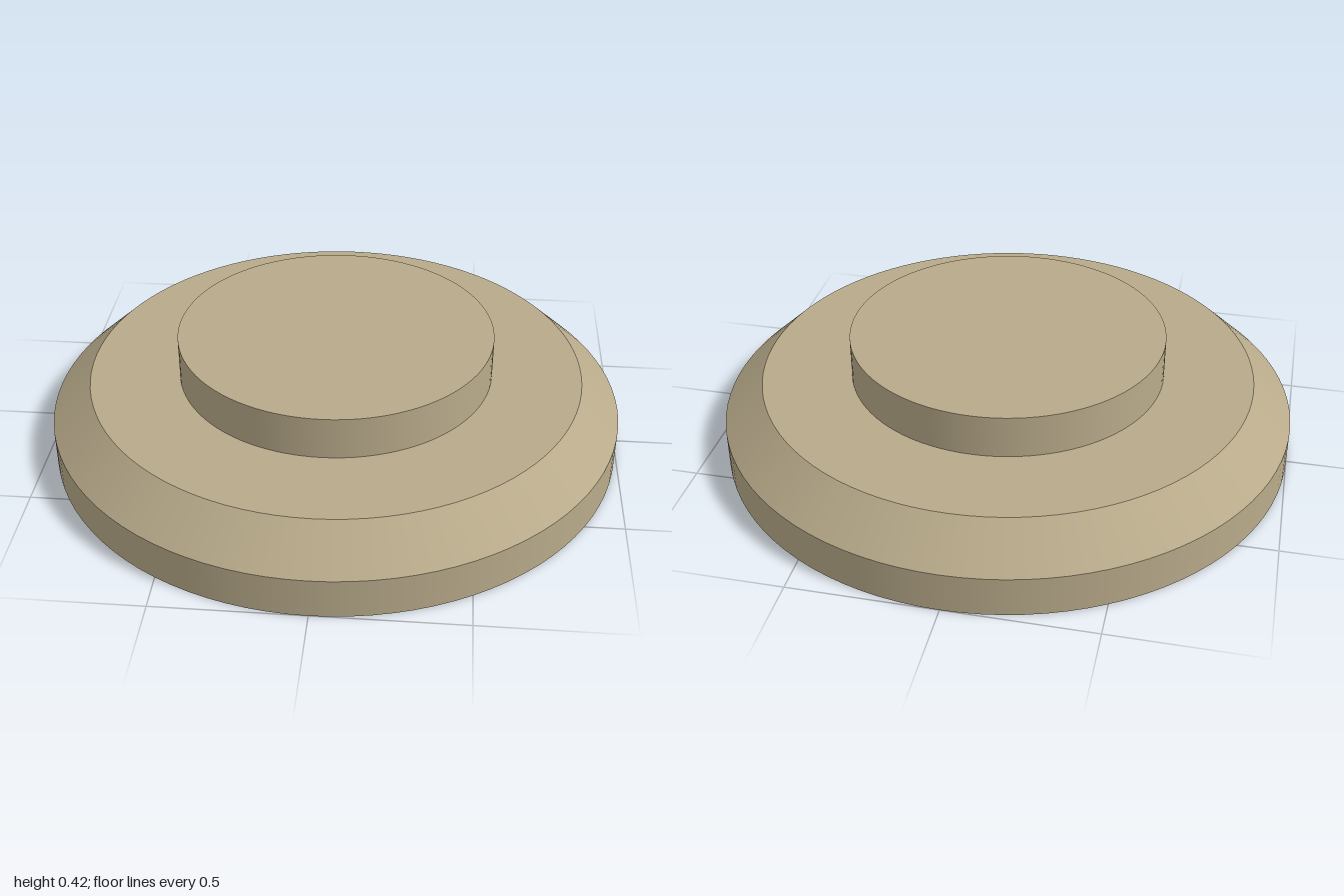
import * as THREE from 'three';

const SEGMENTS = 96;

export function createModel() {
  const group = new THREE.Group();
  group.name = 'steppedDisc';

  const tan = new THREE.MeshStandardMaterial({ color: 0xb8aa8a });
  tan.name = 'tan';

  // Round tier between two heights, with smooth sides and crisp rims
  function addTier(name, bottomRadius, topRadius, y0, y1, openEnded = false) {
    const geometry = new THREE.CylinderGeometry(topRadius, bottomRadius, y1 - y0, SEGMENTS, 1, openEnded);
    const mesh = new THREE.Mesh(geometry, tan);
    mesh.name = name;
    mesh.position.y = (y0 + y1) / 2;
    group.add(mesh);
  }

  // Flat disc closing a tier, facing up or down
  function addDisc(name, radius, y, up) {
    const geometry = new THREE.CircleGeometry(radius, SEGMENTS);
    geometry.rotateX(up ? -Math.PI / 2 : Math.PI / 2);
    const mesh = new THREE.Mesh(geometry, tan);
    mesh.name = name;
    mesh.position.y = y;
    group.add(mesh);
  }

  // Base: underside, straight rim, sloped shoulder and flat top
  addDisc('underside', 1, 0, false);
  addTier('baseRim', 1, 1, 0, 0.14, true);
  addTier('slopedShoulder', 1, 0.862, 0.14, 0.267, true);
  addDisc('baseTop', 0.862, 0.267, true);

  // Raised central boss
  addTier('centralBoss', 0.55, 0.55, 0.267, 0.416);

  return group;
}
